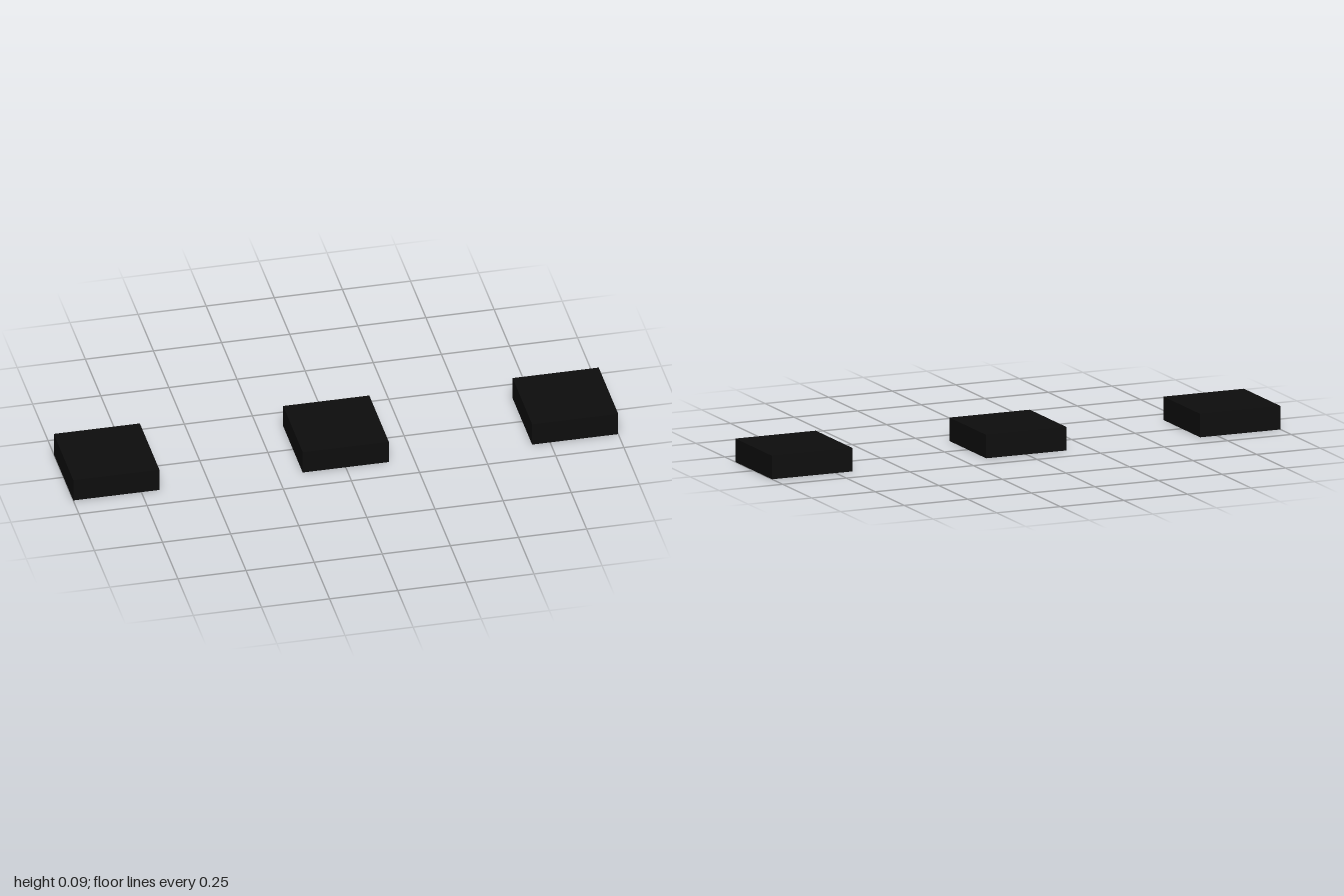
import * as THREE from 'three';

const SIZE = 0.316; // width and depth of each block
const HEIGHT = 0.086;

export function createModel() {
  const model = new THREE.Group();
  model.name = 'blockRow';
  const material = new THREE.MeshStandardMaterial({ color: 0x0d0d0d });
  const geometry = new THREE.BoxGeometry(SIZE, HEIGHT, SIZE);

  // Three equal flat blocks, evenly spaced along x
  ['rightBlock', 'middleBlock', 'leftBlock'].forEach((name, i) => {
    const block = new THREE.Mesh(geometry, material);
    block.name = name;
    block.position.set((i - 1) * (1 - SIZE / 2), HEIGHT / 2, 0);
    model.add(block);
  });
  return model;
}
